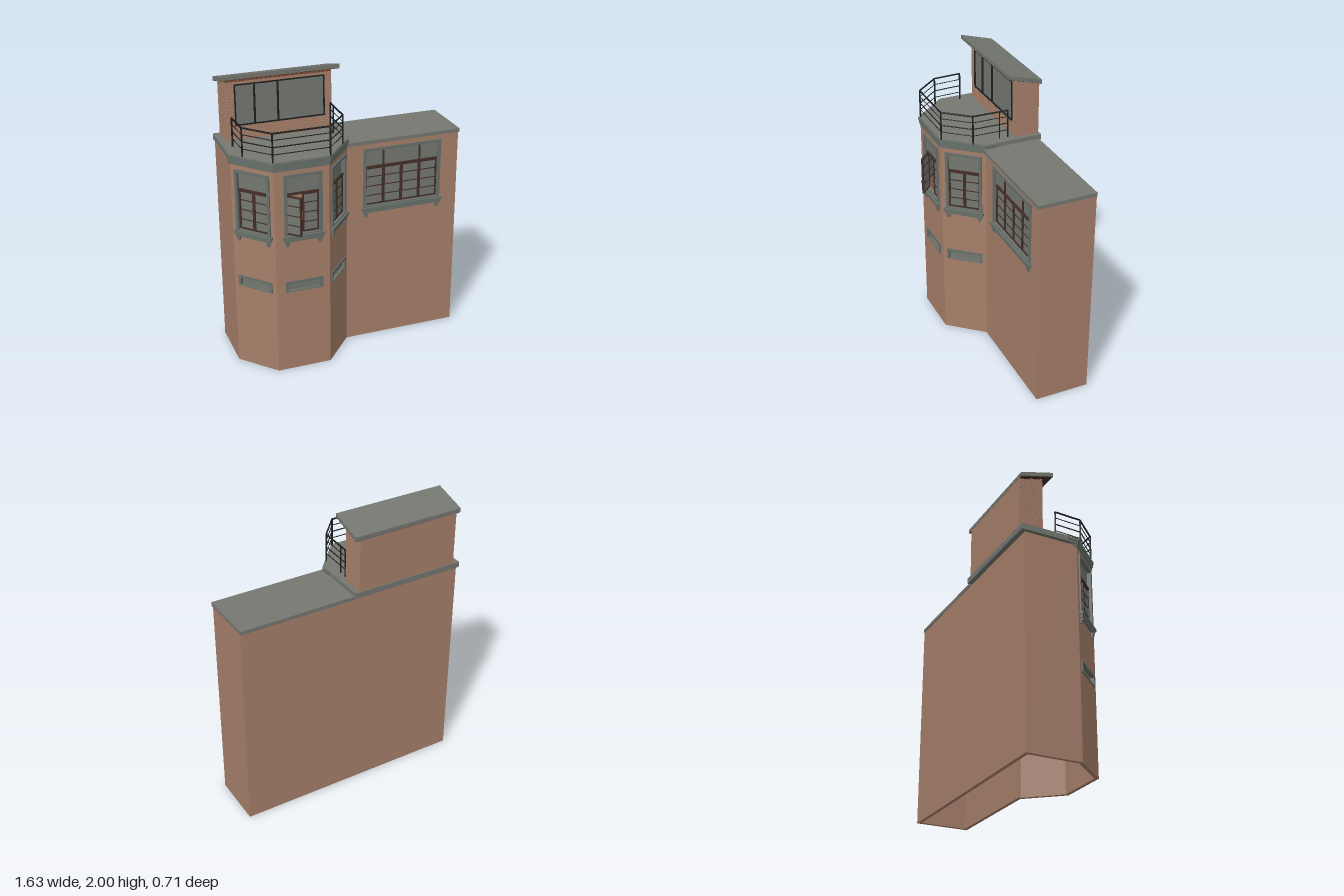
import * as THREE from 'three';
import { mergeGeometries } from 'three/addons/utils/BufferGeometryUtils.js';

const mat = (name, color) => {
  const m = new THREE.MeshStandardMaterial({ color });
  m.name = name;
  return m;
};

export function createModel() {
  const wallMat = mat('wall render', 0xa67f6a);
  const mortar = mat('mortar', 0x7a4c3b);
  const stone = mat('concrete', 0x68706a);
  const roofMat = mat('roof grey', 0x757770);
  const glassMat = mat('glass', 0x747870);
  const wood = mat('brown timber', 0x452f28);
  const iron = mat('black iron', 0x1e1f20);

  const model = new THREE.Group();
  model.name = 'house';

  const add = (parent, name, geo, material) => {
    const m = new THREE.Mesh(geo, material);
    m.name = name;
    parent.add(m);
    return m;
  };
  // box given by its minimum and maximum corners
  const boxGeo = (x0, x1, y0, y1, z0, z1) =>
    new THREE.BoxGeometry(x1 - x0, y1 - y0, z1 - z0).translate((x0 + x1) / 2, (y0 + y1) / 2, (z0 + z1) / 2);
  const box = (parent, name, material, ...c) => add(parent, name, boxGeo(...c), material);
  const rect = (C, x0, x1, y0, y1) => {
    const s = new C();
    s.moveTo(x0, y0); s.lineTo(x1, y0); s.lineTo(x1, y1); s.lineTo(x0, y1); s.closePath();
    return s;
  };
  // flat plate with rectangular holes, from z0 to z1
  const plate = (outer, holes, z0, z1) => {
    const s = rect(THREE.Shape, ...outer);
    holes.forEach(h => s.holes.push(rect(THREE.Path, ...h)));
    return new THREE.ExtrudeGeometry(s, { depth: z1 - z0, bevelEnabled: false }).translate(0, 0, z0);
  };
  // horizontal slab from a plan outline of [x, z] points
  const slab = (pts, y0, y1) => {
    const s = new THREE.Shape(pts.map(([x, z]) => new THREE.Vector2(x, -z)));
    return new THREE.ExtrudeGeometry(s, { depth: y1 - y0, bevelEnabled: false }).rotateX(-Math.PI / 2).translate(0, y0, 0);
  };

  // ---- walls: each runs from a to b with its outside along local +z
  const T = 0.025, H = 1.48;
  const wall = (name, a, b, holes = []) => {
    const g = new THREE.Group();
    const dx = b[0] - a[0], dz = b[1] - a[1], len = Math.hypot(dx, dz);
    g.name = name;
    g.position.set(a[0], 0, a[1]);
    g.rotation.y = Math.atan2(-dz, dx);
    add(g, name + ' panel', plate([0, len, 0, H], holes, -T, 0), wallMat);
    model.add(g);
    return g;
  };

  // ---- glazed sash with origin at its lower left corner
  const sash = (parent, name, x, y, w, h, bars) => {
    const g = new THREE.Group();
    g.name = name;
    g.position.set(x, y, -0.018);
    const f = 0.01;
    add(g, 'sash frame', plate([0, w, 0, h], [[f, w - f, f, h - f]], -0.006, 0.008), wood);
    box(g, 'pane', glassMat, f, w - f, f, h - f, -0.003, 0.001);
    for (let i = 1; i <= bars; i++) {
      const yb = (h * i) / (bars + 1);
      box(g, 'glazing bar', wood, f, w - f, yb - 0.003, yb + 0.003, -0.005, 0.005);
    }
    parent.add(g);
    return g;
  };

  // ---- tall window: surround, top light, casements, sill on brackets
  const tallWindow = (parent, c, w, casements, splits, openLeaf = -1) => {
    const o = w / 2, i = o - 0.02;
    add(parent, 'window surround', plate([c - o, c + o, 1.01, 1.44], [[c - i, c + i, 1.02, 1.42]], -0.015, 0.01), stone);
    box(parent, 'top light', glassMat, c - i, c + i, 1.3, 1.42, -0.022, -0.018);
    box(parent, 'transom', wood, c - i, c + i, 1.292, 1.306, -0.025, -0.006);
    splits.forEach(s => box(parent, 'top mullion', wood, c + s - 0.005, c + s + 0.005, 1.3, 1.42, -0.024, -0.008));
    const lw = (2 * i) / casements;
    for (let k = 0; k < casements; k++) {
      const s = sash(parent, 'casement', c - i + k * lw, 1.02, lw, 0.274, 3);
      if (k === openLeaf) s.rotation.y = -0.77;
    }
    box(parent, 'sill', stone, c - o - 0.013, c + o + 0.013, 0.992, 1.012, -0.01, 0.024);
    box(parent, 'sill moulding', stone, c - o - 0.004, c + o + 0.004, 0.972, 0.992, -0.01, 0.016);
    for (const s of [-1, 1]) {
      const bx = c + s * (o - 0.018);
      box(parent, 'sill bracket', stone, bx - 0.013, bx + 0.013, 0.955, 0.972, -0.01, 0.016);
      box(parent, 'bracket foot', stone, bx - 0.01, bx + 0.01, 0.938, 0.955, -0.01, 0.01);
    }
  };
  const lowWindow = (parent, c) => {
    add(parent, 'low window surround', plate([c - 0.13, c + 0.13, 0.598, 0.676], [[c - 0.112, c + 0.112, 0.604, 0.658]], -0.015, 0.007), stone);
    box(parent, 'low window pane', glassMat, c - 0.115, c + 0.115, 0.6, 0.66, -0.022, -0.018);
  };

  const A = [-0.805, 0.06], B = [-0.59, 0.3], C = [-0.215, 0.3], D = [-0.005, 0.06];
  const back = -0.32, right = 0.815, left = -0.805;
  wall('back wall', [right, back], [left, back]);
  wall('right end wall', [left, back], A);
  wall('left end wall', [right, 0.06], [right, back]);
  [['bay right wall', A, B], ['bay front wall', B, C], ['bay left wall', C, D]].forEach(([name, a, b], k) => {
    const c = k === 1 ? 0.195 : Math.hypot(b[0] - a[0], b[1] - a[1]) / 2;
    const g = wall(name, a, b, [[c - 0.115, c + 0.115, 1.015, 1.425], [c - 0.115, c + 0.115, 0.602, 0.66]]);
    tallWindow(g, c, 0.26, 2, [], k === 1 ? 0 : -1);
    lowWindow(g, c);
  });
  // wing wall starts inside the bay so the inner corner is closed
  const wing = wall('wing front wall', [-0.03, 0.06], [right, 0.06], [[0.16, 0.7, 1.015, 1.425]]);
  tallWindow(wing, 0.43, 0.57, 4, [-0.133, 0.133]);

  // ---- wing roof
  box(model, 'wing roof', roofMat, -0.005, right, H, 1.505, -0.325, 0.082);

  // ---- stepped cornice and terrace over the bay
  const bayEdge = (o, zb) => [
    [left - o, zb], [left - o, 0.06 + 0.4 * o], [B[0] - 0.4 * o, 0.3 + o],
    [C[0] + 0.4 * o, 0.3 + o], [D[0] + o, 0.06 + 0.4 * o], [D[0] + o, zb],
  ];
  add(model, 'lower cornice', slab(bayEdge(0.004, 0.03), 1.47, 1.488), stone);
  add(model, 'middle cornice', slab(bayEdge(0.009, 0.02), 1.488, 1.507), stone);
  add(model, 'upper cornice', slab(bayEdge(0.014, -0.01), 1.507, 1.53), stone);
  add(model, 'terrace slab', slab(bayEdge(0.006, -0.342), 1.495, 1.535), roofMat);

  // ---- iron railing
  const path = [[-0.75, -0.065], [-0.74, 0.13], [-0.59, 0.298], [-0.205, 0.298], [-0.06, 0.13], [-0.055, -0.12]];
  const bar = (p, q, r) => {
    const a = new THREE.Vector3(...p), d = new THREE.Vector3(...q).sub(a);
    const g = new THREE.CylinderGeometry(r, r, d.length(), 6);
    g.applyQuaternion(new THREE.Quaternion().setFromUnitVectors(new THREE.Vector3(0, 1, 0), d.clone().normalize()));
    return g.translate(...a.addScaledVector(d, 0.5).toArray());
  };
  const rails = path.map(([x, z]) => bar([x, 1.53, z], [x, 1.733, z], 0.006));
  rails.push(bar([-0.056, 1.53, -0.06], [-0.056, 1.73, -0.06], 0.005));
  for (let i = 0; i < path.length - 1; i++) {
    const [a, b] = [path[i], path[i + 1]];
    [[1.73, 0.006], [1.685, 0.003], [1.637, 0.004], [1.588, 0.003]].forEach(([y, r]) =>
      rails.push(bar([a[0], y, a[1]], [b[0], y, b[1]], r)));
  }
  add(model, 'railing', mergeGeometries(rails), iron);

  // ---- roof room: extruded side profile of [z, y] points
  const alongX = (pts, x0, x1) =>
    new THREE.ExtrudeGeometry(new THREE.Shape(pts.map(p => new THREE.Vector2(...p))), { depth: x1 - x0, bevelEnabled: false })
      .rotateY(-Math.PI / 2).translate(x1, 0, 0);
  const under = z => 1.972 + (z + 0.1) * 0.285;
  const px0 = -0.76, px1 = -0.035, pz0 = -0.335, pz1 = -0.172;
  add(model, 'roof room', alongX([[pz0, 1.53], [pz1, 1.53], [pz1, under(pz1)], [pz0, under(pz0)]], px0, px1), [mortar, wallMat]);
  box(model, 'brick bed', mortar, px0, px1, 1.53, 1.945, pz1, pz1 + 0.002);
  add(model, 'roof room roof', alongX([[-0.337, under(-0.337)], [-0.1, 1.972], [-0.1, 2], [-0.337, under(-0.337) + 0.029]], -0.795, 0.005), roofMat);
  add(model, 'soffit', alongX([[-0.335, under(-0.335) - 0.003], [-0.104, under(-0.104) - 0.003], [-0.104, under(-0.104)], [-0.335, under(-0.335)]], -0.79, 0), wood);

  // ---- brick courses on the front and both sides of the roof room
  const wx0 = -0.7, wx1 = -0.08, bricks = [];
  const course = (u0, u1, shift, lay) => {
    let u = u0;
    for (let next = u0 + (shift ? 0.025 : 0.05); u < u1 - 0.001; next += 0.05) {
      const e = Math.min(next, u1);
      lay(u, e - 0.001);
      u = e;
    }
  };
  for (let k = 0; k < 21; k++) {
    const y0 = 1.535 + k * 0.02, y1 = y0 + 0.0185;
    const spans = k >= 5 && k < 19 ? [[px0, wx0], [wx1, px1]] : [[px0, px1]];
    if (y1 < 1.953) spans.forEach(([a, b]) => course(a, b, k % 2, (u, v) => bricks.push(boxGeo(u, v, y0, y1, pz1, pz1 + 0.007))));
    course(pz0, pz1 + 0.007, k % 2, (u, v) => {
      const top = Math.min(y1, under(u));
      if (top - y0 < 0.003) return;
      bricks.push(boxGeo(px1, px1 + 0.005, y0, top, u, v), boxGeo(px0 - 0.005, px0, y0, top, u, v));
    });
  }
  add(model, 'brickwork', mergeGeometries(bricks), wallMat);

  // ---- wide window of the roof room
  add(model, 'roof room window frame', plate([wx0, wx1, 1.635, 1.918], [[wx0 + 0.008, wx1 - 0.008, 1.643, 1.91]], -0.172, -0.157), iron);
  box(model, 'roof room glass', glassMat, wx0, wx1, 1.635, 1.915, -0.17, -0.166);
  for (const x of [-0.565, -0.405]) box(model, 'roof room mullion', iron, x - 0.006, x + 0.006, 1.64, 1.915, -0.17, -0.158);

  return model;
}
